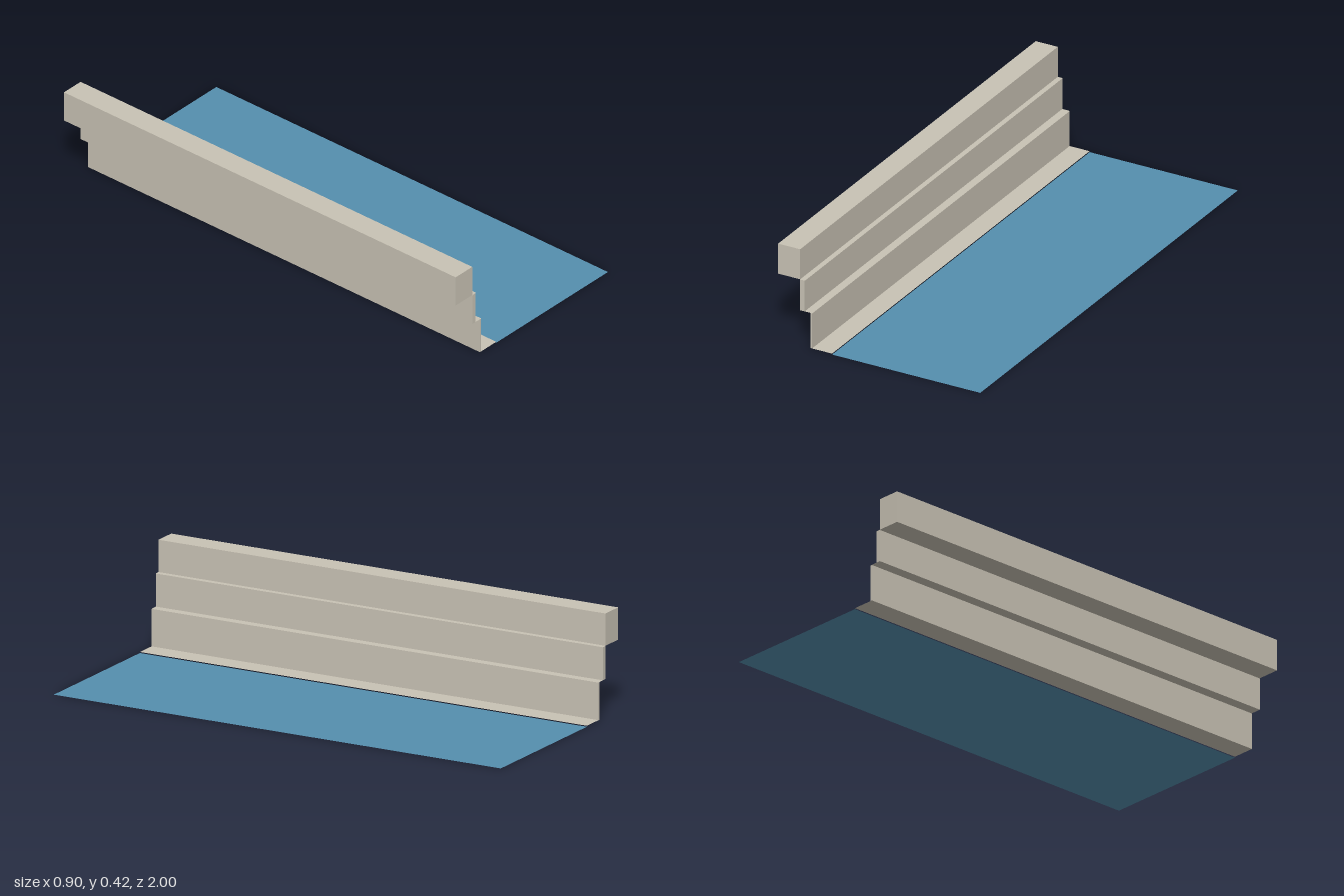
import * as THREE from 'three';

const LENGTH = 2;

export function createModel() {
  const group = new THREE.Group();
  const stone = new THREE.MeshStandardMaterial({ color: 0xc8c2b4, side: THREE.DoubleSide });
  stone.name = 'stone';
  const water = new THREE.MeshStandardMaterial({ color: 0x558fae, side: THREE.DoubleSide });
  water.name = 'water blue';

  // Full-length solid block between two corners of the section
  function block(name, x0, x1, y0, y1) {
    const mesh = new THREE.Mesh(new THREE.BoxGeometry(x1 - x0, y1 - y0, LENGTH), stone);
    mesh.name = name;
    mesh.position.set((x0 + x1) / 2, (y0 + y1) / 2, 0);
    group.add(mesh);
  }

  // Full-length horizontal sheet
  function sheet(name, x0, x1, y, material) {
    const mesh = new THREE.Mesh(new THREE.PlaneGeometry(x1 - x0, LENGTH).rotateX(-Math.PI / 2), material);
    mesh.name = name;
    mesh.position.set((x0 + x1) / 2, y, 0);
    group.add(mesh);
  }

  // Stepped wall
  block('upperWall', -0.45, -0.352, 0.29, 0.42);
  block('middleWall', -0.352, -0.332, 0.156, 0.289);
  block('lowerWall', -0.307, -0.299, 0.004, 0.155);

  // Treads between the steps
  sheet('upperLedge', -0.352, -0.33, 0.29, stone);
  sheet('lowerLedge', -0.352, -0.299, 0.156, stone);

  // Ground strip and water surface
  sheet('shoreStrip', -0.307, -0.21, 0.004, stone);
  sheet('waterSurface', -0.21, 0.45, 0, water);

  return group;
}
